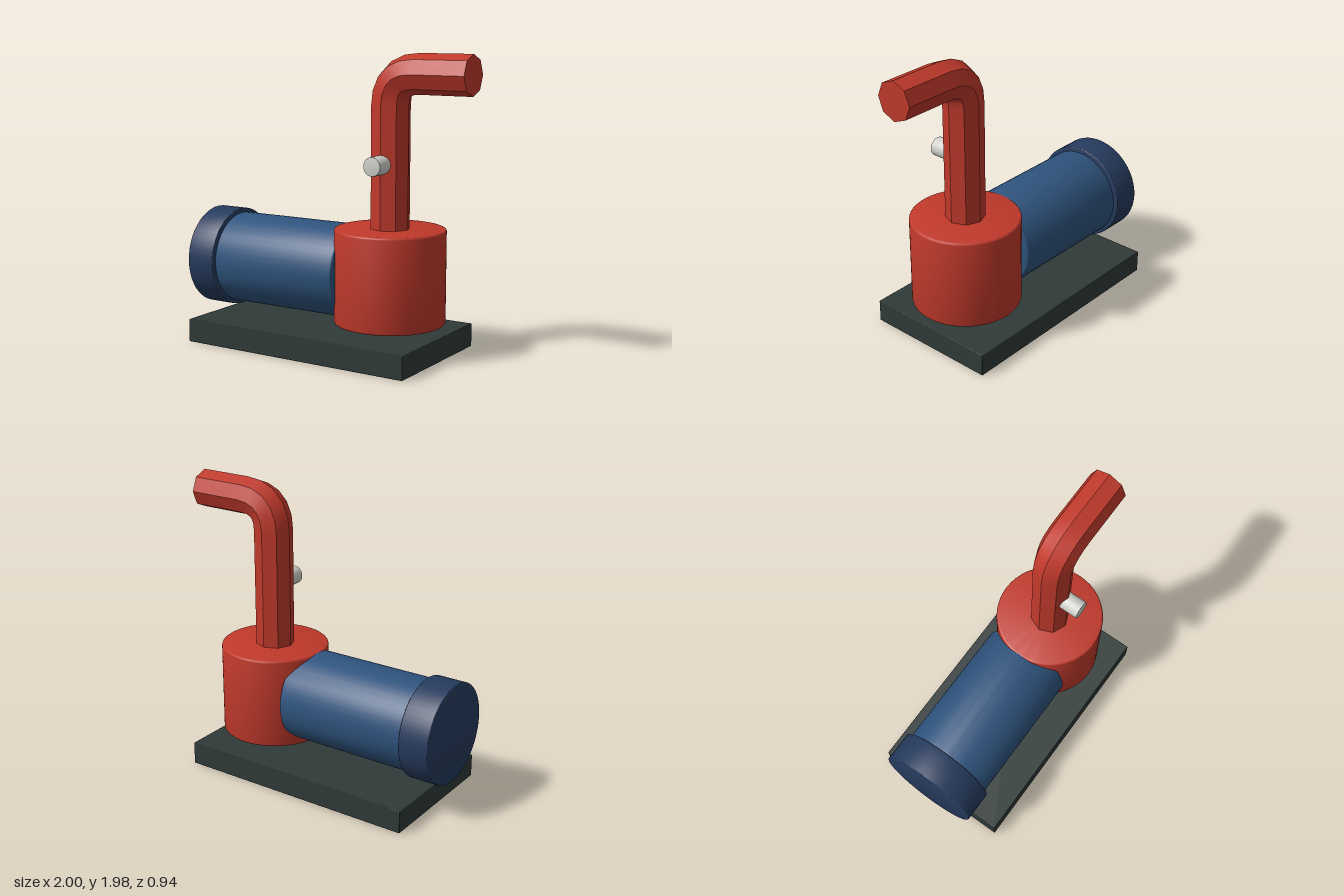
import * as THREE from 'three';
import { toCreasedNormals } from 'three/addons/utils/BufferGeometryUtils.js';
import { RoundedBoxGeometry } from 'three/addons/geometries/RoundedBoxGeometry.js';

const flat = (name, color) => {
  const m = new THREE.MeshStandardMaterial({ color });
  m.name = name;
  return m;
};

// Solid cylinder along y with slightly rounded rims, centred on its middle
function drum(r, h, bevel, sides = 48) {
  const pts = [[0, -h / 2]];
  for (let i = 0; i <= 3; i++) {
    const a = (i / 3) * Math.PI / 2;
    pts.push([r - bevel + bevel * Math.sin(a), -h / 2 + bevel - bevel * Math.cos(a)]);
  }
  for (let i = pts.length - 1; i >= 0; i--) pts.push([pts[i][0], -pts[i][1]]);
  const geo = new THREE.LatheGeometry(pts.map(p => new THREE.Vector2(...p)), sides);
  return toCreasedNormals(geo, 0.6);
}

// Octagonal pipe swept up, around the elbow and out to the right
function elbowPipe(r, x0, y0, x1, y1, bend) {
  const sides = 8, steps = 5;
  const curve = new THREE.QuadraticBezierCurve(
    new THREE.Vector2(x0, y1 - bend), new THREE.Vector2(x0, y1), new THREE.Vector2(x0 + bend, y1));
  const stations = [[new THREE.Vector2(x0, y0), new THREE.Vector2(0, 1)]];
  for (let i = 0; i <= steps; i++) stations.push([curve.getPoint(i / steps), curve.getTangent(i / steps)]);
  stations.push([new THREE.Vector2(x1, y1), new THREE.Vector2(1, 0)]);

  const pos = [], index = [];
  for (const [p, t] of stations) {
    for (let j = 0; j < sides; j++) {
      const a = (j / sides) * Math.PI * 2, c = r * Math.cos(a);
      pos.push(p.x - t.y * c, p.y + t.x * c, r * Math.sin(a));
    }
  }
  for (let i = 0; i < stations.length - 1; i++) {
    for (let j = 0; j < sides; j++) {
      const a = i * sides + j, b = i * sides + (j + 1) % sides;
      index.push(a, b, b + sides, a, b + sides, a + sides);
    }
  }
  // end faces
  const last = (stations.length - 1) * sides;
  for (let j = 1; j < sides - 1; j++) {
    index.push(0, j + 1, j, last, last + j, last + j + 1);
  }
  const geo = new THREE.BufferGeometry();
  geo.setAttribute('position', new THREE.Float32BufferAttribute(pos, 3));
  geo.setIndex(index);
  return toCreasedNormals(geo, 0.6);
}

export function createModel() {
  const red = flat('red paint', 0xc0392b);
  const blue = flat('blue paint', 0x2f547e);
  const navy = flat('navy paint', 0x263b5e);
  const iron = flat('dark iron', 0x2f3a38);
  const steel = flat('light steel', 0xd2d2cd);

  const group = new THREE.Group();
  group.name = 'motorPump';
  const add = (name, geo, mat, x, y, z) => {
    const mesh = new THREE.Mesh(geo, mat);
    mesh.name = name;
    mesh.position.set(x, y, z);
    group.add(mesh);
    return mesh;
  };

  // Base plate
  add('basePlate', new RoundedBoxGeometry(1.68, 0.157, 0.945, 2, 0.005), iron, -0.055, 0.0815, 0);

  // Motor lying along x, with its end cap
  add('motorBody', drum(0.313, 0.945, 0.012).rotateZ(Math.PI / 2), blue, -0.3175, 0.531, 0);
  add('motorEndCap', drum(0.341, 0.21, 0.006).rotateZ(Math.PI / 2), navy, -0.895, 0.531, 0);

  // Upright pump housing
  add('pumpHousing', drum(0.367, 0.627, 0.015), red, 0.418, 0.5315, 0);

  // Outlet pipe and its tap
  add('outletPipe', elbowPipe(0.131, 0.418, 0.8, 1, 1.848, 0.205), red, 0, 0, 0);
  add('tap', drum(0.0625, 0.2, 0.003, 24).rotateX(Math.PI / 2), steel, 0.418, 1.27, 0.137);

  // Floor contact: the plate rests on y = 0
  group.getObjectByName('basePlate').position.y = 0.0785;
  return group;
}
